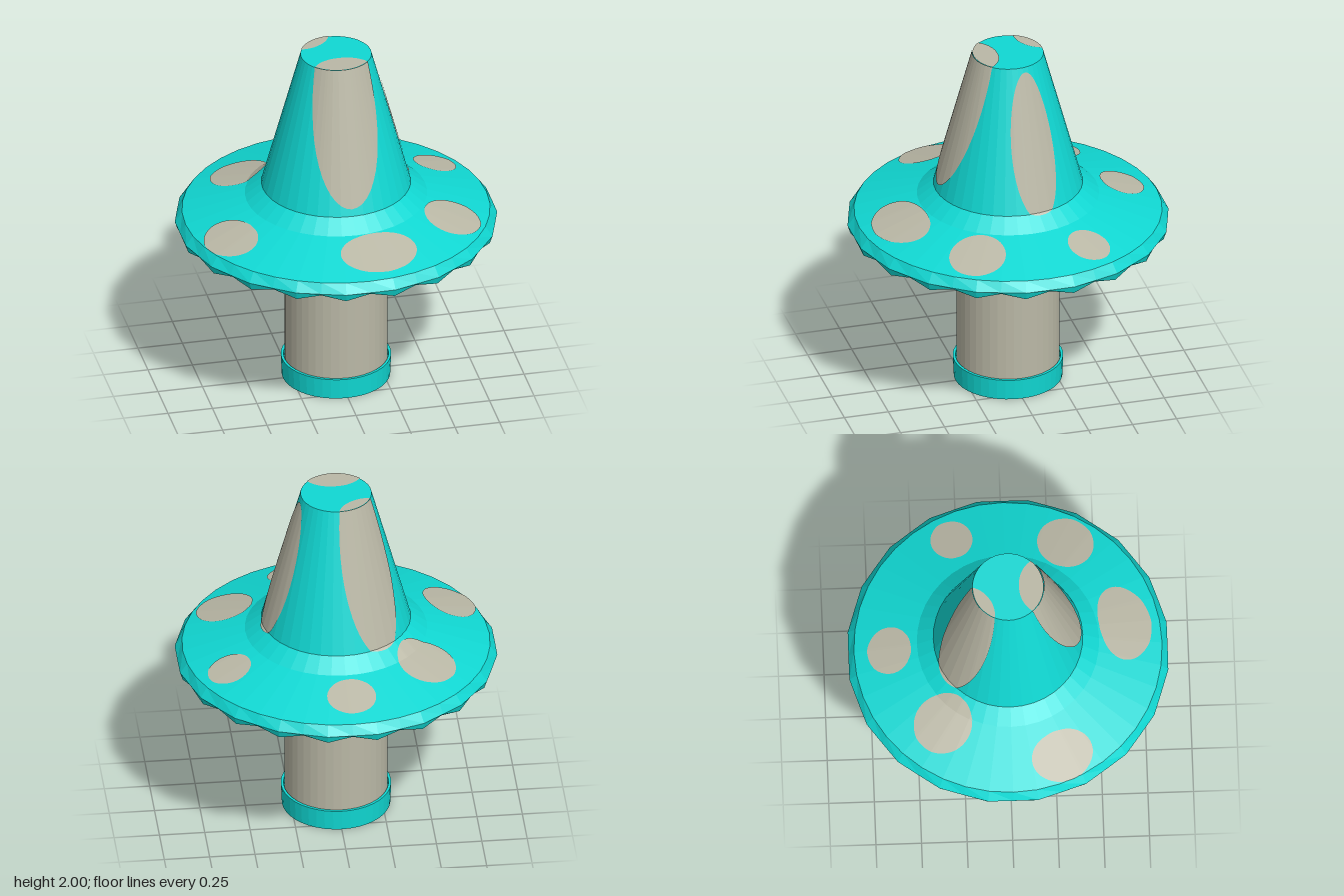
import * as THREE from 'three';

const SIDES = 40, STEP = (Math.PI * 2) / SIDES;

// Cap outline from the top centre to the brim, as [radius, height]
const TOP = [[0, 2], [0.195, 2], [0.41, 1.2], [0.5, 1.13], [0.845, 1.03]];

function flatGeometry(points) {
  const g = new THREE.BufferGeometry();
  g.setAttribute('position', new THREE.Float32BufferAttribute(points, 3));
  g.computeVertexNormals();
  return g;
}

// Faceted turned surface; each row is [r, y] or [r, y, rNotch, yNotch] for pleats
function pleated(profile) {
  const out = [];
  const at = (k, i) => {
    const [r, y, rn = r, yn = y] = profile[k];
    const notch = i % 2 === 0, rad = notch ? rn : r;
    return [rad * Math.sin(i * STEP), notch ? yn : y, rad * Math.cos(i * STEP)];
  };
  for (let k = 0; k < profile.length - 1; k++) {
    for (let i = 0; i < SIDES; i++) {
      const a = at(k, i), b = at(k + 1, i), c = at(k + 1, i + 1), d = at(k, i + 1);
      if (profile[k + 1][0] > 0) out.push(...a, ...b, ...c);
      if (profile[k][0] > 0) out.push(...a, ...c, ...d);
    }
  }
  return flatGeometry(out);
}

// Thin spot lying on the cap: a round patch in plan, stretched around the axis
function spotGeometry(degrees, centre, size, stretch) {
  const out = [], columns = 36, lift = 0.004;
  const mid = THREE.MathUtils.degToRad(degrees), half = Math.asin(size / centre);
  const span = (t) => {
    const a = Math.sin(t * Math.PI / 2) * half;
    const root = Math.sqrt(Math.max(0, size ** 2 - (centre * Math.sin(a)) ** 2));
    return { a: mid + a * stretch, lo: centre * Math.cos(a) - root, hi: centre * Math.cos(a) + root };
  };
  for (let k = 0; k < TOP.length - 1; k++) {
    const [r0, y0] = TOP[k], [r1, y1] = TOP[k + 1];
    const at = (s, f) => {
      const lo = THREE.MathUtils.clamp(s.lo, r0, r1), hi = THREE.MathUtils.clamp(s.hi, r0, r1);
      const r = lo + (hi - lo) * f;
      // follow the flat facets of the cap
      const local = s.a - (Math.floor(s.a / STEP) + 0.5) * STEP;
      const plan = r * Math.cos(STEP / 2) / Math.cos(local) + (k ? lift : 0);
      const y = y0 + (y1 - y0) * (r - r0) / (r1 - r0) + lift;
      return [plan * Math.sin(s.a), y, plan * Math.cos(s.a)];
    };
    for (let i = 0; i < columns; i++) {
      const s = span(-1 + 2 * i / columns), e = span(-1 + 2 * (i + 1) / columns);
      if (Math.max(s.hi, e.hi) <= r0 || Math.min(s.lo, e.lo) >= r1) continue;
      const a = at(s, 0), b = at(s, 1), c = at(e, 1), d = at(e, 0);
      out.push(...a, ...b, ...c, ...a, ...c, ...d);
    }
  }
  return flatGeometry(out);
}

export function createModel() {
  const model = new THREE.Group();
  model.name = 'mushroom';
  const teal = new THREE.MeshStandardMaterial({ color: 0x10d8d3 });
  teal.name = 'teal';
  const beige = new THREE.MeshStandardMaterial({ color: 0xbab8a6 });
  beige.name = 'beige';

  const add = (name, geometry, material, parent = model) => {
    const mesh = new THREE.Mesh(geometry, material);
    mesh.name = name;
    parent.add(mesh);
    return mesh;
  };

  // Cap with a scalloped rim
  const rim = [0.87, 0.93, 0.86, 0.96];
  add('cap', pleated([...TOP, [0.885, 0.975, 0.875, 0.975], rim]), teal);

  // Folded gills under the cap
  add('gills', pleated([rim, [0.27, 0.95, 0.27, 0.97]]), beige);

  // Pleated collar below the gills
  add('collar', pleated([
    [0.385, 0.965, 0.375, 0.965],
    [0.395, 0.9, 0.38, 0.92],
    [0.385, 0.81, 0.37, 0.84],
    [0.27, 0.85, 0.27, 0.87],
  ]), teal);

  // Stem and foot
  add('stem', pleated([[0.283, 0.96], [0.283, 0.1]]), beige);
  add('foot', pleated([[0, 0.1], [0.285, 0.1], [0.288, 0.12], [0.303, 0.12], [0.298, 0], [0, 0]]), teal);

  // Spots: angle from the front, distance from the axis, radius, stretch
  const spots = new THREE.Group();
  spots.name = 'spots';
  model.add(spots);
  [
    [9, 0.65, 0.145, 1.5], [60, 0.667, 0.155, 1], [-67, 0.71, 0.135, 1.28],
    [-129, 0.59, 0.16, 1], [181.5, 0.65, 0.12, 1.12], [115, 0.68, 0.12, 0.95],
  ].forEach((s) => add('brimSpot', spotGeometry(...s), beige, spots));
  [
    [0, 0.23, 0.17, 1.05], [101, 0.313, 0.11, 1.15], [-147, 0.275, 0.15, 1.05],
  ].forEach((s) => add('coneSpot', spotGeometry(...s), beige, spots));

  return model;
}
